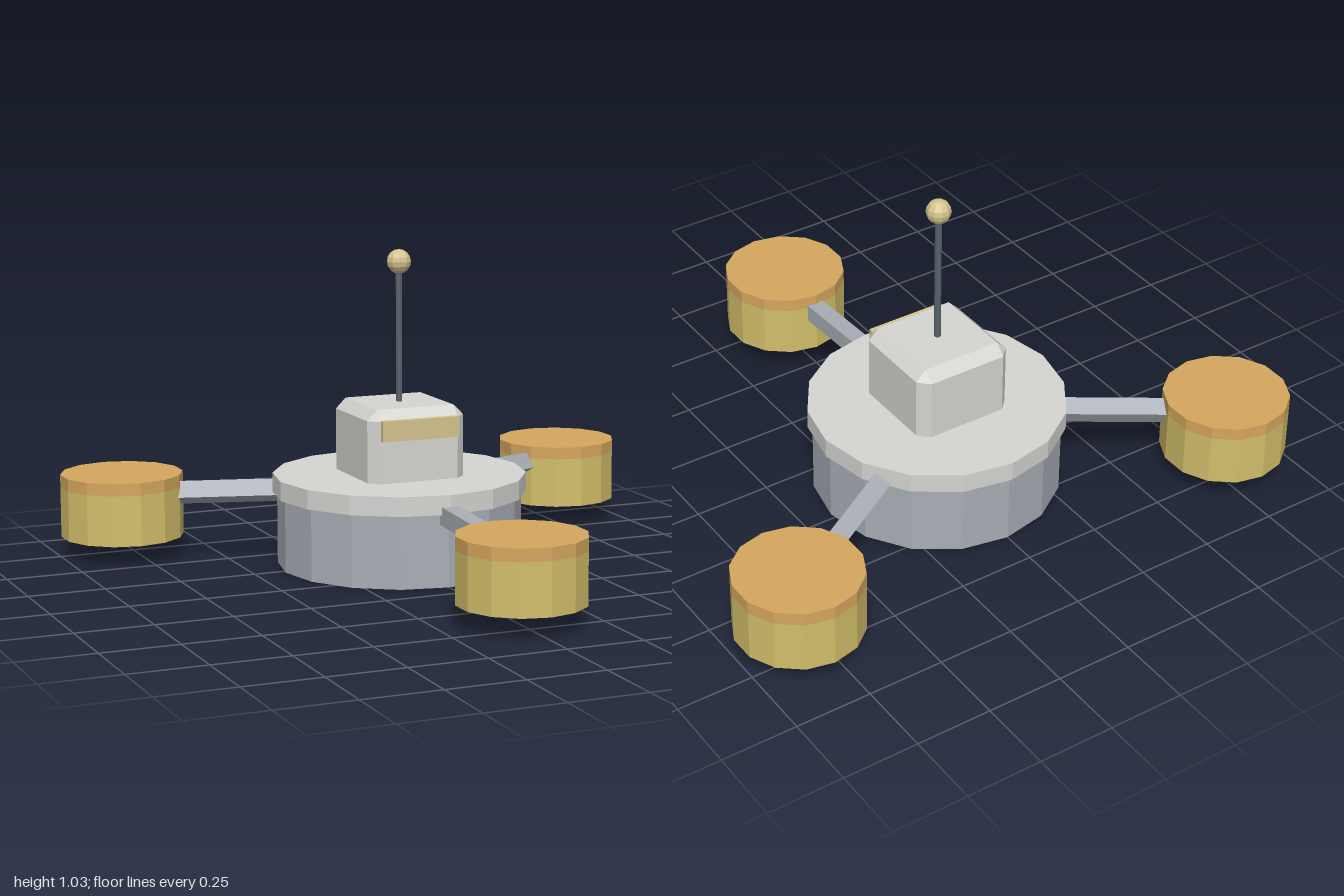
import * as THREE from 'three';
import { ConvexGeometry } from 'three/addons/geometries/ConvexGeometry.js';

const CENTRE_Z = -0.231; // hull axis
const POD_DIST = 0.926;  // hull axis to pod axis

function makeMaterial(name, color) {
  const m = new THREE.MeshStandardMaterial({ color, flatShading: true });
  m.name = name;
  return m;
}

// Box with every edge cut off at 45 degrees
function chamferedBox(w, h, d, c) {
  const points = [];
  for (const sx of [-1, 1]) for (const sy of [-1, 1]) for (const sz of [-1, 1]) {
    const x = w / 2, y = h / 2, z = d / 2;
    points.push(
      new THREE.Vector3(sx * x, sy * (y - c), sz * (z - c)),
      new THREE.Vector3(sx * (x - c), sy * y, sz * (z - c)),
      new THREE.Vector3(sx * (x - c), sy * (y - c), sz * z));
  }
  return new ConvexGeometry(points);
}

export function createModel() {
  const model = new THREE.Group();
  model.name = 'threePodCraft';

  const hullGrey = makeMaterial('hullGrey', 0xa9aeb6);
  const paleGrey = makeMaterial('paleGrey', 0xd5d5d2);
  const podYellow = makeMaterial('podYellow', 0xd3bf6a);
  const capOrange = makeMaterial('capOrange', 0xd6a75f);
  const sand = makeMaterial('sand', 0xd6c58e);
  const darkSteel = makeMaterial('darkSteel', 0x5a626c);

  const add = (parent, name, geometry, material, x = 0, y = 0, z = 0) => {
    const mesh = new THREE.Mesh(geometry, material);
    mesh.name = name;
    mesh.position.set(x, y, z);
    parent.add(mesh);
    return mesh;
  };
  // Upright cylinder between two heights
  const drum = (parent, name, r, y0, y1, sides, material, x = 0, z = 0) =>
    add(parent, name, new THREE.CylinderGeometry(r, r, y1 - y0, sides), material, x, (y0 + y1) / 2, z);

  const body = new THREE.Group();
  body.name = 'body';
  body.position.z = CENTRE_Z;
  model.add(body);

  // Hull and deck
  drum(body, 'hull', 0.4, 0, 0.25, 16, hullGrey);
  drum(body, 'deck', 0.415, 0.237, 0.3, 16, paleGrey);

  // Cabin with its front window
  add(body, 'cabin', chamferedBox(0.336, 0.336, 0.336, 0.034), paleGrey, 0, 0.368, 0);
  add(body, 'window', new THREE.BoxGeometry(0.268, 0.067, 0.02), sand, 0, 0.472, 0.173);

  // Antenna
  drum(body, 'antennaRod', 0.011, 0.52, 0.98, 8, darkSteel);
  add(body, 'antennaBall', new THREE.SphereGeometry(0.04, 10, 8), sand, 0, 0.993, 0);

  // Three arms and pods, one facing the front
  const up = new THREE.Vector3(0, 1, 0);
  for (let i = 0; i < 3; i++) {
    const a = (i * Math.PI * 2) / 3;
    const sx = Math.sin(a), sz = Math.cos(a);

    // Arm slopes gently down; the shortest turn from upright gives its roll
    const start = new THREE.Vector3(sx * 0.3, 0.238, sz * 0.3);
    const end = new THREE.Vector3(sx * 0.87, 0.209, sz * 0.87);
    const dir = end.clone().sub(start);
    const mid = start.clone().add(end).multiplyScalar(0.5);
    const arm = add(body, 'arm' + (i + 1), new THREE.BoxGeometry(0.059, dir.length(), 0.059), hullGrey, mid.x, mid.y, mid.z);
    arm.quaternion.setFromUnitVectors(up, dir.normalize());

    const pod = new THREE.Group();
    pod.name = 'pod' + (i + 1);
    pod.position.set(sx * POD_DIST, 0, sz * POD_DIST);
    body.add(pod);
    drum(pod, 'podBody', 0.2025, 0.07, 0.238, 14, podYellow);
    drum(pod, 'podCap', 0.2025, 0.238, 0.279, 14, capOrange);
  }

  return model;
}
